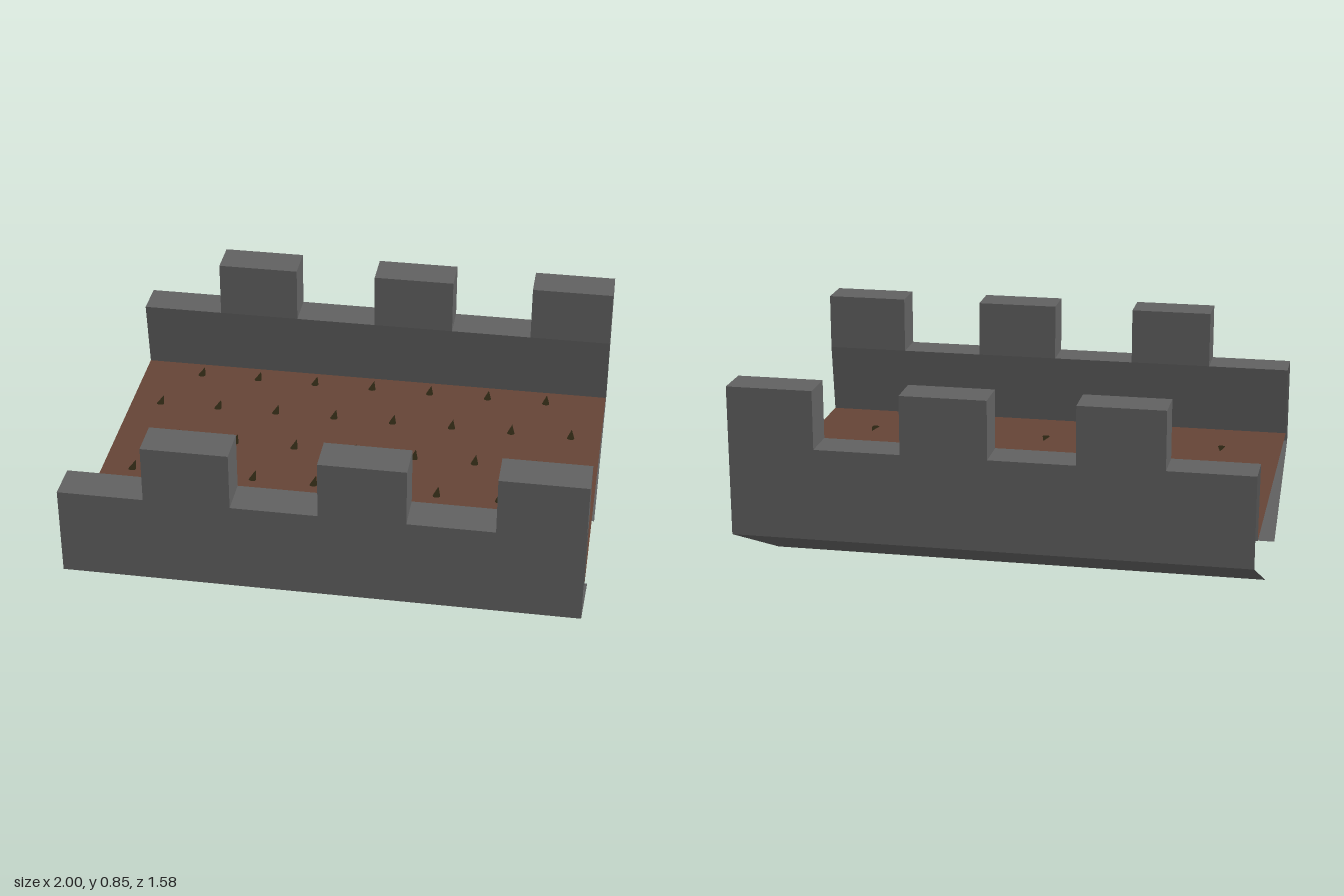
import * as THREE from 'three';

const stone = new THREE.MeshStandardMaterial({ color: 0x616161, side: THREE.DoubleSide });
stone.name = 'grey stone';
const earth = new THREE.MeshStandardMaterial({ color: 0x654436, side: THREE.DoubleSide });
earth.name = 'brown floor';
const dark = new THREE.MeshStandardMaterial({ color: 0x2a2412, side: THREE.DoubleSide });
dark.name = 'dark marks';

// Flat sheet running the full length in x between two [z, y] points
function sheet(name, a, b, material) {
  const geometry = new THREE.BufferGeometry();
  geometry.setAttribute('position', new THREE.Float32BufferAttribute([
    -1, a[1], a[0], 1, a[1], a[0], -1, b[1], b[0], 1, b[1], b[0]], 3));
  geometry.setIndex([0, 2, 3, 0, 3, 1]);
  geometry.computeVertexNormals();
  const mesh = new THREE.Mesh(geometry, material);
  mesh.name = name;
  return mesh;
}

// Hollow parapet: leaning inner face, walkway top, outer face, sloped underside
function parapet(side) {
  const group = new THREE.Group();
  group.name = side > 0 ? 'frontParapet' : 'backParapet';
  const profile = [[0.675, 0.33], [0.64, 0.62], [0.79, 0.62], [0.79, 0.26], [0.22, 0]];
  const names = ['innerFace', 'parapetTop', 'outerFace', 'slopedUnderside'];
  names.forEach((name, i) => {
    const a = [profile[i][0] * side, profile[i][1]];
    const b = [profile[i + 1][0] * side, profile[i + 1][1]];
    group.add(side > 0 ? sheet(name, a, b, stone) : sheet(name, b, a, stone));
  });

  // Three merlons, the last flush with the +x end
  for (let i = 0; i < 3; i++) {
    const merlon = new THREE.Mesh(new THREE.BoxGeometry(1 / 3, 0.23, 0.15), stone);
    merlon.position.set(-0.5 + i * 2 / 3, 0.735, 0.715 * side);
    merlon.name = 'merlon';
    group.add(merlon);
  }
  return group;
}

// Small teardrop marks in staggered rows on the floor
function floorMarks() {
  const group = new THREE.Group();
  group.name = 'floorMarks';
  const drop = new THREE.Shape();
  drop.moveTo(0, 0.05);
  drop.lineTo(-0.014, -0.01);
  drop.quadraticCurveTo(-0.02, -0.028, 0, -0.03);
  drop.quadraticCurveTo(0.02, -0.028, 0.014, -0.01);
  const geometry = new THREE.ShapeGeometry(drop, 4).rotateX(-Math.PI / 2);
  for (let row = 0; row < 5; row++) {
    const odd = row % 2;
    for (let i = 0; i < 7 + odd; i++) {
      const mark = new THREE.Mesh(geometry, dark);
      mark.position.set(-0.75 - odd * 0.125 + i * 0.25, 0.333, -0.6 + row * 0.253);
      mark.name = 'floorMark';
      group.add(mark);
    }
  }
  return group;
}

export function createModel() {
  const model = new THREE.Group();
  model.name = 'battlementWalkway';
  model.add(parapet(1), parapet(-1));
  model.add(sheet('floor', [-0.675, 0.33], [0.675, 0.33], earth));
  model.add(floorMarks());
  return model;
}
